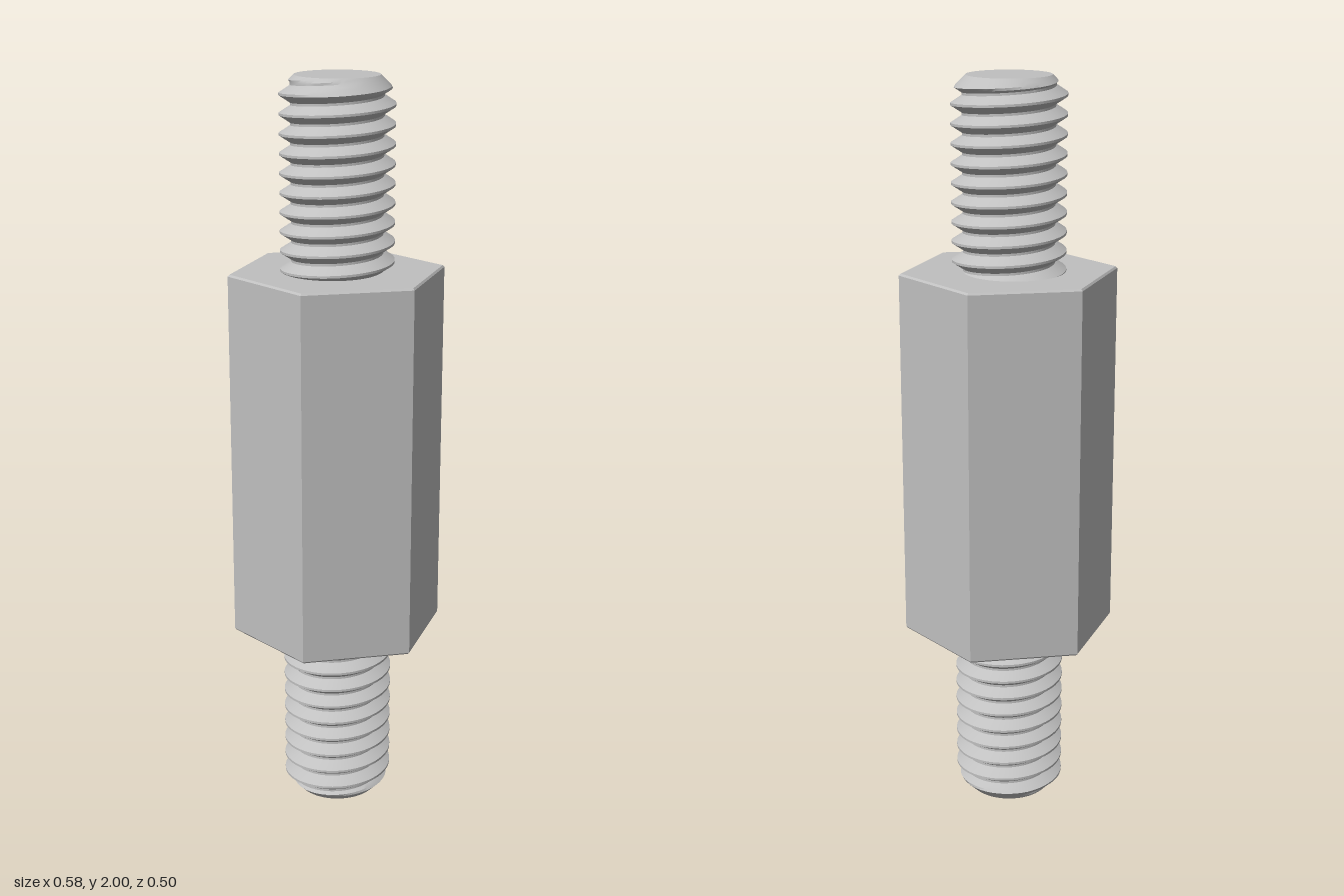
import * as THREE from 'three';
import { toCreasedNormals } from 'three/addons/utils/BufferGeometryUtils.js';

const PITCH = 0.05, LENGTH = 0.5, CREST = 0.149, ROOT = 0.12, TIP = 0.11;
const SEGMENTS = 64, ROWS_PER_TURN = 8;

// Thread radius at a height and phase (0..1 within one turn), tapered at the tip
function threadRadius(y, phase) {
  const rise = (phase - 0.125) / 0.375;
  const fall = (1 - phase) / 0.375;
  const h = THREE.MathUtils.clamp(Math.min(rise, fall), 0, 1);
  return Math.min(ROOT + (CREST - ROOT) * h, TIP + (LENGTH - y));
}

// Right-handed helical surface, trimmed flat at y = 0 and y = LENGTH
function threadGeometry() {
  const positions = [], indices = [];
  const rows = (LENGTH / PITCH + 1) * ROWS_PER_TURN;
  const stride = SEGMENTS + 1;
  for (let i = 0; i <= rows; i++) {
    for (let j = 0; j <= SEGMENTS; j++) {
      const turn = j / SEGMENTS, a = turn * Math.PI * 2;
      const y = THREE.MathUtils.clamp((i / ROWS_PER_TURN - 1 + turn) * PITCH, 0, LENGTH);
      const p = y / PITCH - turn + 1e-9;
      const r = threadRadius(y, p - Math.floor(p));
      positions.push(r * Math.cos(a), y, -r * Math.sin(a));
    }
  }
  const same = (a, b) => positions[a * 3 + 1] === positions[b * 3 + 1];
  for (let i = 0; i < rows; i++) {
    for (let j = 0; j < SEGMENTS; j++) {
      const a = i * stride + j, b = a + 1, c = a + stride, d = c + 1;
      // Skip the faces collapsed by trimming
      if (!(same(a, b) && same(b, d))) indices.push(a, b, d);
      if (!(same(a, d) && same(d, c))) indices.push(a, d, c);
    }
  }
  const geometry = new THREE.BufferGeometry();
  geometry.setAttribute('position', new THREE.Float32BufferAttribute(positions, 3));
  geometry.setIndex(indices);
  return toCreasedNormals(geometry, 0.6);
}

export function createModel() {
  const model = new THREE.Group();
  model.name = 'threadedStandoff';
  const steel = new THREE.MeshStandardMaterial({ color: 0xc0c0c0 });
  steel.name = 'steel';

  const add = (parent, name, geometry) => {
    const mesh = new THREE.Mesh(geometry, steel);
    mesh.name = name;
    parent.add(mesh);
    return mesh;
  };

  // Hexagonal body with a fine bevel at both ends
  const R = 0.2885, bevel = 0.005;
  const profile = [[0, 0.5], [R - bevel, 0.5], [R, 0.5 + bevel], [R, 1.5 - bevel], [R - bevel, 1.5], [0, 1.5]]
    .map(([x, y]) => new THREE.Vector2(x, y));
  const hex = new THREE.LatheGeometry(profile, 6, Math.PI / 2);
  add(model, 'hexBody', toCreasedNormals(hex, 0.3));

  // Two threaded studs, the lower one turned upside down
  const thread = threadGeometry();
  const cap = new THREE.CircleGeometry(TIP, SEGMENTS).rotateX(-Math.PI / 2).translate(0, LENGTH, 0);
  for (const [name, y, turn] of [['upperStud', 1.5, 0], ['lowerStud', 0.5, Math.PI]]) {
    const stud = new THREE.Group();
    stud.name = name;
    stud.position.y = y;
    stud.rotation.x = turn;
    add(stud, 'thread', thread);
    add(stud, 'endCap', cap);
    model.add(stud);
  }
  return model;
}
